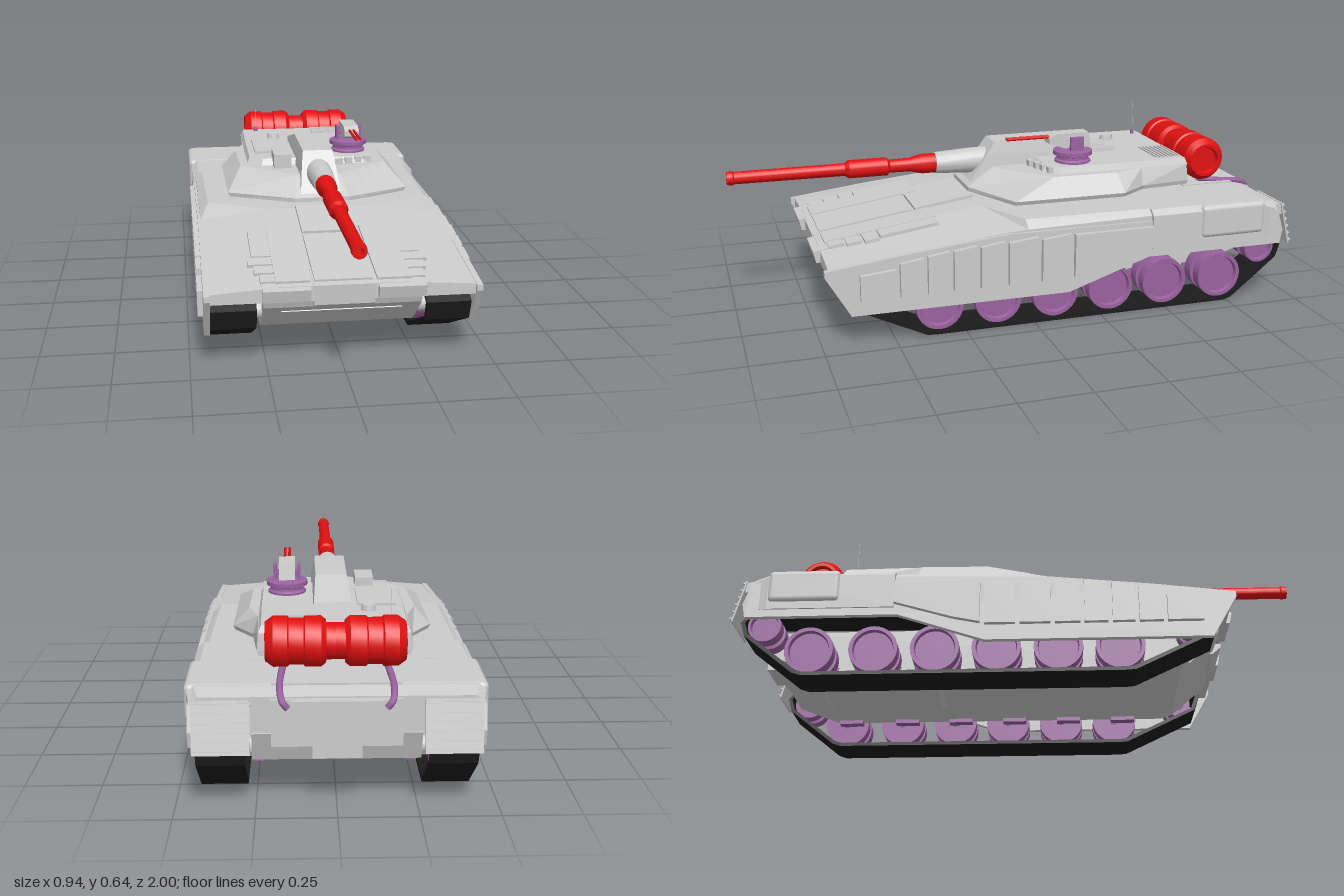
import * as THREE from 'three';
import { toCreasedNormals } from 'three/addons/utils/BufferGeometryUtils.js';
import { RoundedBoxGeometry } from 'three/addons/geometries/RoundedBoxGeometry.js';

const mat = (color) => new THREE.MeshStandardMaterial({ color, side: THREE.DoubleSide });
const GREY = mat(0xcccccc), RED = mat(0xe01010), PURPLE = mat(0x9a62a0), BLACK = mat(0x1c1c1c);

export function createModel() {
  const root = new THREE.Group();
  const add = (name, geo, material = GREY, parent = root) => {
    const m = new THREE.Mesh(geo, material);
    m.name = name;
    parent.add(m);
    return m;
  };
  const box = (name, w, h, d, x, y, z, material, parent) => {
    const m = add(name, new THREE.BoxGeometry(w, h, d), material, parent);
    m.position.set(x, y, z);
    return m;
  };

  // Solid through matching convex rings of [x, y, z], capped at both ends
  const loft = (rings) => {
    const n = rings[0].length, tris = [];
    for (let r = 0; r < rings.length - 1; r++) for (let i = 0; i < n; i++) {
      const j = (i + 1) % n, a = rings[r][i], b = rings[r][j], c = rings[r + 1][j], d = rings[r + 1][i];
      tris.push([a, b, c], [a, c, d]);
    }
    const first = rings[0], last = rings[rings.length - 1];
    for (let i = 1; i < n - 1; i++) tris.push([first[0], first[i + 1], first[i]], [last[0], last[i], last[i + 1]]);
    const v = (p) => new THREE.Vector3(...p);
    const volume = tris.reduce((s, [a, b, c]) => s + v(a).dot(v(b).cross(v(c))), 0);
    if (volume < 0) tris.forEach((t) => t.reverse());
    const g = new THREE.BufferGeometry();
    g.setAttribute('position', new THREE.Float32BufferAttribute(tris.flat(2), 3));
    g.computeVertexNormals();
    return g;
  };
  // Side outline of [z, y] points, extruded from x0 to x1
  const slab = (pts, x0, x1, hole) => {
    const s = new THREE.Shape(pts.map((p) => new THREE.Vector2(...p)));
    if (hole) s.holes.push(new THREE.Path(hole.map((p) => new THREE.Vector2(...p))));
    return new THREE.ExtrudeGeometry(s, { depth: x1 - x0, bevelEnabled: false }).rotateY(-Math.PI / 2).translate(x1, 0, 0);
  };
  // Turned part from [radius, length] points
  const lathe = (pts, seg = 24) =>
    toCreasedNormals(new THREE.LatheGeometry(pts.map((p) => new THREE.Vector2(...p)), seg), 0.5);
  const mirror = (pts) => [...pts, ...pts.map(([x, ...r]) => [-x, ...r]).reverse()];

  // Upper hull: z, half width, deck half width, deck y, side y, bottom y
  add('upperHull', loft([
    [0.72, 0.435, 0.2, 0.292, 0.275, 0.24], [0.45, 0.44, 0.2, 0.331, 0.307, 0.237],
    [0.13, 0.44, 0.2, 0.378, 0.345, 0.237], [0.03, 0.442, 0.41, 0.38, 0.352, 0.237],
    [-0.43, 0.445, 0.42, 0.38, 0.36, 0.237], [-0.431, 0.458, 0.435, 0.38, 0.362, 0.237],
    [-0.87, 0.458, 0.435, 0.38, 0.362, 0.237], [-0.93, 0.445, 0.42, 0.365, 0.34, 0.237],
  ].map(([z, w, wt, yt, ys, yb]) => mirror([[wt, yt, z], [w, ys, z], [w, yb, z]]))));
  add('rearStowage', new RoundedBoxGeometry(0.936, 0.12, 0.25, 3, 0.018)).position.set(0, 0.322, -0.745);

  // Lower hull, belly and nose
  add('lowerHull', slab([[0.71, 0.26], [0.69, 0.21], [0.56, 0.1], [0.52, 0.087], [-0.74, 0.087], [-0.9, 0.15], [-0.94, 0.25]], -0.26, 0.26));
  add('bellyPlate', loft([layer(0.088, [[0.11, -0.3], [0.11, -0.74]]), layer(0.076, [[0.095, -0.315], [0.095, -0.725]])]));
  const lowerPlate = box('lowerFrontPlate', 0.4, 0.1, 0.005, 0, 0.155, 0.627);
  lowerPlate.rotation.x = 0.86;
  add('noseBlock', slab([[0.725, 0.293], [0.72, 0.225], [0.69, 0.2], [0.6, 0.2], [0.6, 0.312]], -0.1, 0.1));

  // Sloped panels lying on the front deck
  const glacis = (name, w, l, x, z, lift = 0) => {
    box(name, w, 0.012, l, x, 0.379 - (z - 0.13) * 0.146 + lift, z).rotation.x = 0.145;
  };
  glacis('driverPanel', 0.19, 0.22, 0, 0.24, 0.004);
  glacis('nosePanel', 0.19, 0.34, 0, 0.53, 0.002);

  // Engine deck and rear plate
  box('engineDeck', 0.4, 0.012, 0.2, 0, 0.38, -0.77);
  box('rearPanel', 0.4, 0.15, 0.03, 0, 0.285, -0.93);
  box('rearDoor', 0.28, 0.14, 0.04, 0, 0.29, -0.94);
  box('towBlock', 0.15, 0.05, 0.04, 0, 0.2, -0.935);

  const trackOuter = [[0.62, 0.235], [0.68, 0.2], [0.655, 0.13], [0.39, 0.003], [0.36, 0], [-0.74, 0], [-0.77, 0.01], [-0.945, 0.15], [-0.96, 0.2], [-0.92, 0.25]];
  const trackInner = [[0.61, 0.221], [0.663, 0.195], [0.643, 0.138], [0.385, 0.016], [0.36, 0.013], [-0.735, 0.013], [-0.762, 0.021], [-0.932, 0.157], [-0.946, 0.2], [-0.915, 0.236]];
  const skirt = [[0.735, 0.275], [0.735, 0.255], [0.65, 0.11], [-0.12, 0.11], [-0.42, 0.21], [-0.945, 0.21], [-0.955, 0.26], [-0.93, 0.34], [0.1, 0.345], [0.45, 0.31]];
  const wheelGeo = (r) => lathe([[0, 0.04], [r * 0.8, 0.04], [r * 0.84, 0.055],
    [r, 0.055], [r, 0.012], [r * 0.72, 0.01], [r * 0.72, -0.01], [r, -0.012], [r, -0.055], [0, -0.055]], 28).rotateZ(-Math.PI / 2);

  for (const s of [1, -1]) {
    const side = new THREE.Group();
    side.name = s > 0 ? 'leftSide' : 'rightSide';
    root.add(side);
    const span = (pts, a, b, hole) => slab(pts, s > 0 ? a : -b, s > 0 ? b : -a, hole);
    add('track', span(trackOuter, 0.28, 0.43, trackInner), BLACK, side);
    add('sideSkirt', span(skirt, 0.432, 0.452), GREY, side);

    // Skirt panels, with tops following the falling fender line
    for (const [z0, z1, top] of [[0.62, 0.5, 0.265], [0.485, 0.405, 0.295], [0.39, 0.315, 0.31], [0.3, 0.22, 0.32],
      [0.205, 0.12, 0.325], [0.105, 0, 0.33], [-0.015, -0.12, 0.33]])
      add('skirtPanel', span([[z0, top - 0.012], [z0, 0.165], [z1, 0.165], [z1, top]], 0.45, 0.47), GREY, side);
    add('skirtPanel', span([[-0.135, 0.325], [-0.135, 0.17], [-0.23, 0.19], [-0.43, 0.25], [-0.43, 0.325]], 0.45, 0.47), GREY, side);

    // Running gear
    const wheel = (name, r, z, y) => {
      const w = add(name, wheelGeo(r), PURPLE, side);
      w.position.set(s * 0.365, y, z);
      w.rotation.y = s < 0 ? Math.PI : 0;
    };
    const axle = (name, r, z, y) =>
      add(name, new THREE.CylinderGeometry(r, r, 0.09, 14).rotateZ(Math.PI / 2), GREY, side).position.set(s * 0.288, y, z);
    for (const z of [0.34, 0.13, -0.08, -0.29, -0.5, -0.72]) {
      wheel('roadWheel', 0.084, z, 0.098);
      axle('axle', 0.016, z, 0.1);
      box('suspensionArm', 0.034, 0.025, 0.09, s * 0.245, 0.085, z + 0.03, PURPLE, side);
    }
    for (const [z, y, r] of [[0.59, 0.17, 0.052], [-0.88, 0.19, 0.058]]) {
      wheel('endWheel', r, z, y);
      axle('endAxle', 0.03, z, y);
    }

    // Front prong, fender panels and slatted rear flap
    add('frontProng', span([[0.745, 0.286], [0.735, 0.245], [0.6, 0.24], [0.6, 0.309]], 0.11, 0.265), GREY, side);
    glacis('frontPanel', 0.11, 0.4, s * 0.165, 0.5, 0.001);
    glacis('sidePanel', 0.07, 0.21, s * 0.25, 0.41, -0.001);
    for (let i = 0; i < 3; i++) glacis('step', 0.08 - i * 0.015, 0.05, s * (0.26 - i * 0.008), 0.545 + i * 0.06, -0.002);
    const flap = new THREE.Group();
    flap.name = 'rearFlap';
    flap.position.set(s * 0.35, 0.28, -0.972);
    flap.rotation.x = 0.24;
    side.add(flap);
    box('flapPlate', 0.175, 0.16, 0.006, 0, 0, 0, GREY, flap);
    for (let i = 0; i < 6; i++) box('slat', 0.175, 0.006, 0.012, 0, -0.07 + i * 0.028, -0.005, GREY, flap);
    box('flapMount', 0.165, 0.04, 0.05, s * 0.35, 0.335, -0.932, GREY, side);

    // Drum support rail
    const rail = new THREE.CatmullRomCurve3([[0.15, 0.335, -0.95], [0.165, 0.355, -0.95], [0.172, 0.375, -0.925], [0.172, 0.388, -0.82], [0.165, 0.4, -0.74]]
      .map(([x, y, z]) => new THREE.Vector3(s * x, y, z)));
    add('drumRail', new THREE.TubeGeometry(rail, 20, 0.011, 8), PURPLE, side);

    // Fuel drum, one each side of the joint
    const drum = lathe([[0, 0.205], [0.045, 0.205], [0.05, 0.22], [0.062, 0.22], [0.08, 0.195], [0.08, 0.15], [0.074, 0.145],
      [0.074, 0.1], [0.08, 0.095], [0.08, 0.045], [0.068, 0.03], [0.058, 0.03], [0.058, 0]], 28).rotateZ(-Math.PI / 2);
    const d = add('fuelDrum', drum, RED, side);
    d.position.set(0, 0.482, -0.748);
    d.rotation.y = s < 0 ? Math.PI : 0;
    box('drumBracket', 0.04, 0.05, 0.06, s * 0.12, 0.465, -0.675, RED, side);
  }

  // Turret
  const turret = new THREE.Group();
  turret.name = 'turret';
  root.add(turret);
  add('turretRing', new THREE.CylinderGeometry(0.2, 0.2, 0.035, 40), GREY, turret).position.set(0, 0.391, -0.2);
  const base = [[0.1, 0.15], [0.335, 0.04], [0.34, -0.37], [0.27, -0.47], [0.25, -0.66]];
  add('turretBody', loft([
    layer(0.405, base.map(([x, z]) => [x * 0.98, z])), layer(0.42, base),
    layer(0.483, [[0.08, 0.05], [0.278, -0.12], [0.285, -0.36], [0.25, -0.47], [0.245, -0.655]]),
  ]), GREY, turret);
  add('roofPlate', loft([
    layer(0.48, [[0.2, -0.1], [0.25, -0.15], [0.25, -0.4], [0.245, -0.66]]),
    layer(0.505, [[0.19, -0.12], [0.24, -0.165], [0.24, -0.4], [0.235, -0.65]]),
  ]), GREY, turret);
  add('gunHousing', loft([[0.42, 0.075, 0.14, -0.46], [0.52, 0.063, 0.07, -0.44], [0.57, 0.055, 0.035, -0.25]]
    .map(([y, w, f, b]) => layer(y, [[w, f], [w, b]]))), GREY, turret);

  // Roof fittings
  box('sightBox', 0.065, 0.055, 0.12, -0.122, 0.508, -0.11, GREY, turret);
  box('roofHatch', 0.13, 0.014, 0.22, -0.15, 0.506, -0.32, GREY, turret);
  for (let i = 0; i < 7; i++) box('ventSlat', 0.16, 0.008, 0.007, 0.13, 0.506, -0.64 + i * 0.015, GREY, turret);
  for (let i = 0; i < 4; i++) box('periscope', 0.028, 0.022, 0.02, 0.1 + i * 0.038, 0.494, -0.09 - i * 0.012, GREY, turret);
  add('sensorCap', new THREE.CylinderGeometry(0.025, 0.03, 0.025, 6), GREY, turret).position.set(-0.12, 0.512, -0.48);
  add('antennaBase', new THREE.CylinderGeometry(0.007, 0.009, 0.02, 8), PURPLE, turret).position.set(-0.183, 0.51, -0.62);
  add('antenna', new THREE.CylinderGeometry(0.0007, 0.0007, 0.14, 6), GREY, turret).position.set(-0.183, 0.575, -0.62);

  // Main gun
  const gun = new THREE.Group();
  gun.name = 'mainGun';
  gun.position.y = 0.495;
  turret.add(gun);
  add('gunSleeve', lathe([[0.048, 0], [0.046, 0.12], [0.039, 0.25], [0, 0.25]]).rotateX(Math.PI / 2), GREY, gun);
  add('barrel', lathe([[0.036, 0.24], [0.036, 0.3], [0.025, 0.345], [0.024, 0.42], [0.033, 0.43], [0.033, 0.57],
    [0.023, 0.585], [0.022, 0.975], [0.025, 0.98], [0.023, 1], [0.013, 1], [0.013, 0.95], [0, 0.95]]).rotateX(Math.PI / 2), RED, gun);

  // Roof machine gun
  const mg = new THREE.Group();
  mg.name = 'machineGun';
  mg.position.set(0.155, 0.5, -0.235);
  turret.add(mg);
  add('cupola', lathe([[0.066, 0], [0.066, 0.012], [0.058, 0.018], [0.058, 0.028], [0.072, 0.033], [0.072, 0.047], [0.04, 0.055], [0, 0.055]], 28), PURPLE, mg);
  for (const s of [1, -1]) box('gunBracket', 0.012, 0.055, 0.05, s * 0.042, 0.075, 0, PURPLE, mg);
  box('gunCrossbar', 0.09, 0.014, 0.03, 0, 0.075, 0, PURPLE, mg);
  add('receiver', slab([[0.1, 0.08], [0.1, 0.1], [0.07, 0.115], [-0.05, 0.115], [-0.06, 0.06], [0.04, 0.06]], -0.028, 0.028), GREY, mg);
  for (const s of [1, -1])
    add('gunBarrel', new THREE.CylinderGeometry(0.005, 0.005, 0.16, 8).rotateX(Math.PI / 2), RED, mg).position.set(s * 0.008, 0.102, 0.175);
  return root;

  // Mirrored ring of [x, z] points at height y
  function layer(y, pts) {
    return mirror(pts.map(([x, z]) => [x, y, z]));
  }
}
